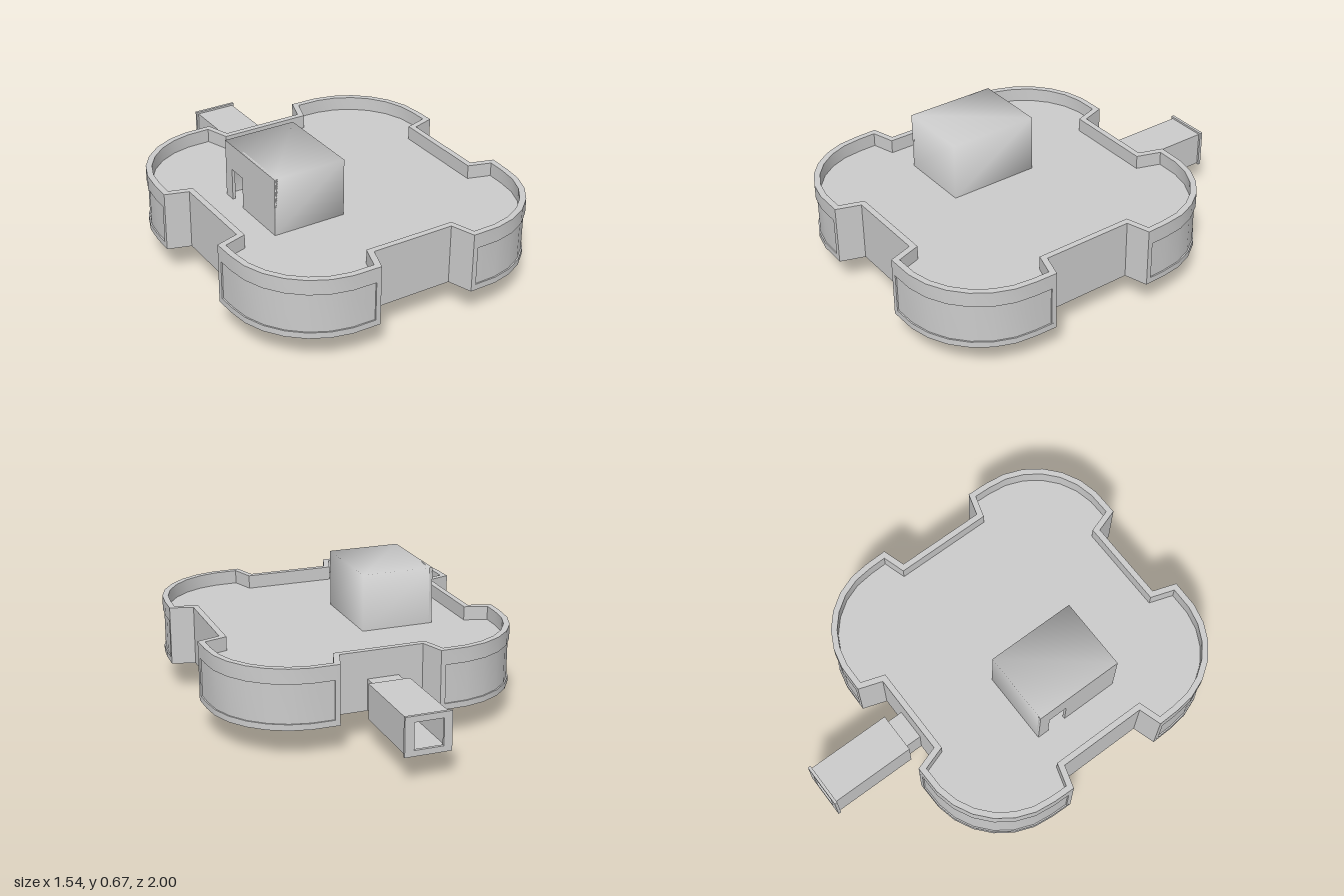
import * as THREE from 'three';
import { mergeVertices, toCreasedNormals } from 'three/addons/utils/BufferGeometryUtils.js';

const CENTRE_Z = 0.205;
const material = new THREE.MeshStandardMaterial({ color: 0xcccccc });
const sheetMaterial = new THREE.MeshStandardMaterial({ color: 0xcccccc, side: THREE.DoubleSide });

// One quarter of the plan: notch corner, rounded bastion, notch corner.
const notchA = [[0.21, 0.675], [0.25, 0.795]];
const notchB = [[0.77, 0.265], [0.655, 0.23]];

function bastionArc(radius) {
  const points = [];
  for (let deg = 84; deg >= 0; deg -= 14) {
    const a = deg * Math.PI / 180;
    points.push([0.347 + radius * Math.cos(a), 0.375 + radius * Math.sin(a)]);
  }
  return points;
}

const quarter = [...notchA, ...bastionArc(0.42), ...notchB];

// Same quarter with the curved window band set back a little.
const windowQuarter = [
  ...notchA, [0.275, 0.795], [0.275, 0.788],
  ...bastionArc(0.413), [0.762, 0.29], [0.769, 0.29], ...notchB,
];

function mirrorQuarter(q) {
  const points = [];
  for (const [sx, sz, flip] of [[1, 1, false], [1, -1, true], [-1, -1, false], [-1, 1, true]]) {
    const part = q.map(([x, z]) => new THREE.Vector2(x * sx, z * sz));
    points.push(...(flip ? part.reverse() : part));
  }
  return points;
}

// Moves a clockwise outline inward by d with mitred corners.
function inset(points, d) {
  const n = points.length;
  return points.map((p, i) => {
    const a = p.clone().sub(points[(i + n - 1) % n]).normalize();
    const b = points[(i + 1) % n].clone().sub(p).normalize();
    const na = new THREE.Vector2(a.y, -a.x);
    const nb = new THREE.Vector2(b.y, -b.x);
    const miter = na.clone().add(nb);
    return p.clone().addScaledVector(miter, d / (1 + na.dot(nb)));
  });
}

function rectPath(x0, x1, z0, z1) {
  return [[x0, z0], [x1, z0], [x1, z1], [x0, z1]]
    .map(([x, z]) => new THREE.Vector2(x, z - CENTRE_Z));
}

// Horizontal slab between two heights; holes run counter-clockwise so their sides face inward.
function slab(name, outline, holes, y0, y1) {
  const shape = new THREE.Shape(outline);
  for (const h of holes) {
    shape.holes.push(new THREE.Path(THREE.ShapeUtils.isClockWise(h) ? [...h].reverse() : h));
  }
  const geo = new THREE.ExtrudeGeometry(shape, { depth: y1 - y0, bevelEnabled: false });
  geo.rotateX(Math.PI / 2);
  geo.translate(0, y1, CENTRE_Z);
  const mesh = new THREE.Mesh(toCreasedNormals(geo, 0.6), material);
  mesh.name = name;
  return mesh;
}

function box(name, x0, x1, y0, y1, z0, z1) {
  const mesh = new THREE.Mesh(new THREE.BoxGeometry(x1 - x0, y1 - y0, z1 - z0), material);
  mesh.position.set((x0 + x1) / 2, (y0 + y1) / 2, (z0 + z1) / 2);
  mesh.name = name;
  return mesh;
}

// Softly shaded box without its -x side and its bottom.
function openShell(name, x0, x1, y0, y1, z0, z1) {
  const geo = new THREE.BoxGeometry(x1 - x0, y1 - y0, z1 - z0);
  const index = [...geo.index.array];
  geo.setIndex([...index.slice(0, 6), ...index.slice(12, 18), ...index.slice(24, 36)]);
  geo.deleteAttribute('normal');
  geo.deleteAttribute('uv');
  geo.translate((x0 + x1) / 2, (y0 + y1) / 2, (z0 + z1) / 2);
  const smooth = mergeVertices(geo);
  smooth.computeVertexNormals();
  const mesh = new THREE.Mesh(smooth, sheetMaterial);
  mesh.name = name;
  return mesh;
}

// Rectangular tube running along z.
function duct(name, [x0, x1, y0, y1], [a0, a1, b0, b1], z0, z1) {
  const shape = new THREE.Shape();
  shape.moveTo(x0, y0).lineTo(x1, y0).lineTo(x1, y1).lineTo(x0, y1).closePath();
  const hole = new THREE.Path();
  hole.moveTo(a0, b0).lineTo(a0, b1).lineTo(a1, b1).lineTo(a1, b0).closePath();
  shape.holes.push(hole);
  const geo = new THREE.ExtrudeGeometry(shape, { depth: z1 - z0, bevelEnabled: false });
  const mesh = new THREE.Mesh(geo.translate(0, 0, z0), material);
  mesh.name = name;
  return mesh;
}

function group(name, ...parts) {
  const g = new THREE.Group();
  g.name = name;
  g.add(...parts);
  return g;
}

export function createModel() {
  const outer = mirrorQuarter(quarter);
  const inner = inset(outer, 0.03);
  const floorOpening = rectPath(-0.44, -0.1, 0, 0.42);
  const deckOpening = rectPath(-0.3, -0.1, 0.18, 0.42);
  const hatch = rectPath(-0.085, 0.08, 0.135, 0.395);

  // Outer wall: footing, window band and parapet
  const walls = group('walls',
    slab('wallFooting', outer, [inner], 0.15, 0.18),
    slab('windowBand', mirrorQuarter(windowQuarter), [inner], 0.18, 0.375),
    slab('parapet', outer, [inner], 0.375, 0.45));

  // Floor with openings, and roof deck
  const floor = slab('floor', inner, [floorOpening, hatch], 0.15, 0.165);
  const deck = slab('roofDeck', inner, [deckOpening], 0.365, 0.38);
  const hatchFrame = slab('hatchFrame', rectPath(-0.12, 0.115, 0.1, 0.43), [hatch], 0.14, 0.15);

  // Roof hut with a doorway in its -x wall
  const [x0, x1, z0, z1] = [-0.455, -0.083, -0.025, 0.435];
  const inside = x0 + 0.015;
  const hut = group('roofHut',
    openShell('hutShell', x0, x1, 0.38, 0.67, z0, z1),
    box('doorWallBack', x0, inside, 0.38, 0.67, z0, 0.035),
    box('doorWallFront', x0, inside, 0.38, 0.67, 0.135, z1),
    box('doorLintel', x0, inside, 0.54, 0.67, 0.035, 0.135));

  // Inner flight of steps up to the hut
  const stairs = group('stairs');
  const count = 12;
  for (let i = 0; i < count; i++) {
    const y = 0.165 + (i + 1) * 0.215 / count;
    const z = 0.42 - i * 0.24 / count;
    stairs.add(box('step', -0.3, -0.1, y - 0.03, y, z - 0.24 / count, z));
  }

  // Thin triangular side plates below the stair opening
  const triangle = new THREE.Shape();
  triangle.moveTo(-0.44, 0.15).lineTo(-0.23, 0).lineTo(-0.23, 0.15).closePath();
  const plateGeo = new THREE.ExtrudeGeometry(triangle, { depth: 0.005, bevelEnabled: false });
  for (const z of [-0.003, 0.188]) {
    const plate = new THREE.Mesh(plateGeo, material);
    plate.position.z = z;
    plate.name = 'stairSidePlate';
    stairs.add(plate);
  }

  // Rear walkway: neck, passage and framed open end
  const opening = [-0.08, 0.063, 0.167, 0.3];
  const walkway = group('walkway',
    duct('walkwayNeck', [-0.087, 0.07, 0.155, 0.31], opening, -0.55, -0.47),
    duct('walkwayPassage', [-0.11, 0.098, 0.143, 0.32], [-0.09, 0.075, 0.163, 0.303], -0.985, -0.55),
    duct('walkwayEndFrame', [-0.12, 0.108, 0.138, 0.33], opening, -1, -0.985));

  return group('building', walls, floor, deck, hatchFrame, hut, stairs, walkway);
}
